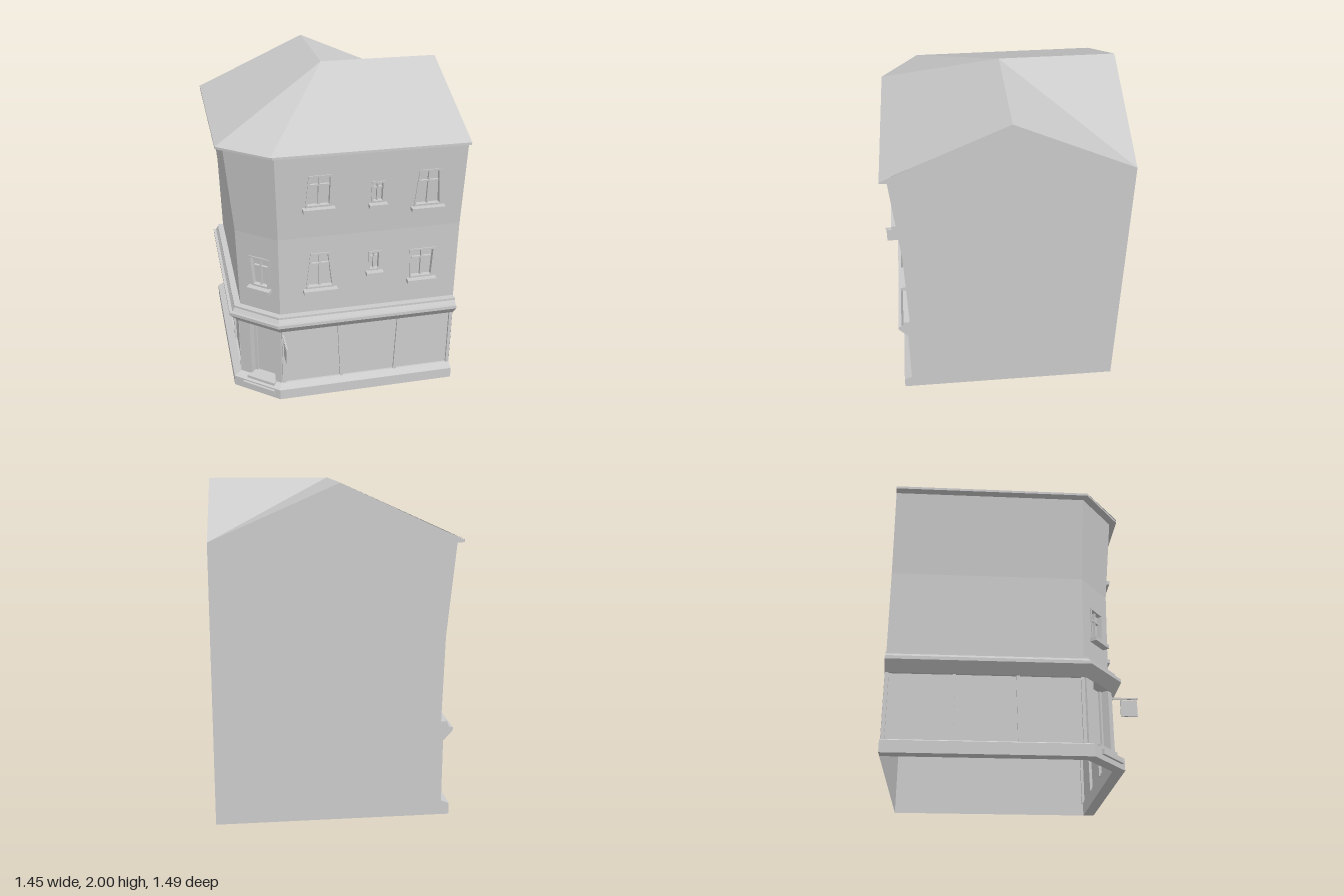
import * as THREE from 'three';

const material = new THREE.MeshStandardMaterial({ color: 0xcccccc, flatShading: true, side: THREE.DoubleSide });

// Street outline as [x, z]: left side, cut corner, front
const path = [[-0.64, -0.74], [-0.64, 0.4], [-0.405, 0.588], [0.72, 0.588]].map(p => new THREE.Vector2(...p));
const faces = [0, 1, 2].map(i => {
  const dir = path[i + 1].clone().sub(path[i]);
  const length = dir.length();
  dir.normalize();
  return { start: path[i], dir, length, n: new THREE.Vector2(-dir.y, dir.x) };
});
const miter = path.map((p, i) => {
  const a = faces[Math.max(i - 1, 0)].n, b = faces[Math.min(i, 2)].n;
  return a.clone().add(b).divideScalar(1 + a.dot(b));
});
const [LEFT, CORNER, FRONT] = [0, 1, 2];
const corner = (i, out, y) => [path[i].x + miter[i].x * out, y, path[i].y + miter[i].y * out];

// Outward lean of the street walls at height y
function lean(y) {
  if (y < 0.575) return 0;
  if (y <= 1.12) return -0.015 + 0.012 * (y - 0.58) / 0.54;
  return -0.003 + 0.048 * (y - 1.12) / 0.54;
}

function mesh(geometry, name) {
  const m = new THREE.Mesh(geometry, material);
  m.name = name;
  return m;
}

// Moves a geometry from (along, height, outward) of a face to model space
function onFace(f, geometry, name) {
  const { start, dir, n } = faces[f];
  const p = geometry.attributes.position;
  for (let i = 0; i < p.count; i++) {
    const u = p.getX(i), y = p.getY(i), w = p.getZ(i) + lean(y);
    p.setXYZ(i, start.x + dir.x * u + n.x * w, y, start.y + dir.y * u + n.y * w);
  }
  geometry.computeVertexNormals();
  return mesh(geometry, name);
}

const outline = pts => new THREE.Shape(pts.map(p => new THREE.Vector2(...p)));

function slab(shape, w0, w1) {
  return new THREE.ExtrudeGeometry(shape, { depth: w1 - w0, bevelEnabled: false }).translate(0, 0, w0);
}

function block(f, u0, u1, y0, y1, w0, w1, name) {
  const g = new THREE.BoxGeometry(u1 - u0, y1 - y0, w1 - w0);
  return onFace(f, g.translate((u0 + u1) / 2, (y0 + y1) / 2, (w0 + w1) / 2), name);
}

// Wall slab between two heights, mitred at the corners, with openings
function wall(f, y0, y1, thickness, holes, name) {
  const { dir, length } = faces[f];
  const a = y => miter[f].dot(dir) * lean(y), b = y => length + miter[f + 1].dot(dir) * lean(y);
  const s = outline([[a(y0), y0], [b(y0), y0], [b(y1), y1], [a(y1), y1]]);
  s.holes = holes.map(outline);
  return onFace(f, slab(s, -thickness, 0), name);
}

// Sweeps a closed [outward, y] profile along the street outline
function moulding(profile, name) {
  const pos = [], k = profile.length;
  const P = (j, i) => corner(j, ...profile[i % k]);
  for (let j = 0; j < 3; j++) for (let i = 0; i < k; i++) {
    const a = P(j, i), b = P(j, i + 1), c = P(j + 1, i + 1), d = P(j + 1, i);
    pos.push(...a, ...d, ...c, ...a, ...c, ...b);
  }
  for (let i = 1; i < k - 1; i++) {
    pos.push(...P(0, 0), ...P(0, i), ...P(0, i + 1), ...P(3, 0), ...P(3, i + 1), ...P(3, i));
  }
  return mesh(fromPoints(pos), name);
}

function fromPoints(pos) {
  const g = new THREE.BufferGeometry();
  g.setAttribute('position', new THREE.Float32BufferAttribute(pos, 3));
  g.computeVertexNormals();
  return g;
}

// Crooked window: [face, centre, bottom, top, bottom width, top width, lean to the side]
const fx = x => x - path[2].x;
const windows = [
  [FRONT, fx(-0.165), 1.325, 1.53, 0.155, 0.14, 0.01],
  [FRONT, fx(0.19), 1.32, 1.46, 0.08, 0.08, 0],
  [FRONT, fx(0.5), 1.27, 1.51, 0.17, 0.13, 0],
  [FRONT, fx(-0.15), 0.765, 1.01, 0.175, 0.12, 0],
  [FRONT, fx(0.187), 0.85, 0.985, 0.075, 0.08, 0],
  [FRONT, fx(0.492), 0.765, 0.97, 0.15, 0.165, 0],
  [CORNER, 0.165, 0.765, 0.97, 0.12, 0.145, 0]
];

function windowOutline([, u, y0, y1, wb, wt, skew], inset = 0) {
  return [[u - wb / 2 + inset, y0 + inset], [u + wb / 2 - inset, y0 + inset],
    [u + skew + wt / 2 - inset, y1 - inset], [u + skew - wt / 2 + inset, y1 - inset]];
}

function windowUnit(win) {
  const [f, u, y0, y1, wb, , skew] = win;
  const g = new THREE.Group();
  g.name = 'window';
  const frame = outline(windowOutline(win));
  frame.holes = [outline(windowOutline(win, 0.012))];
  g.add(onFace(f, slab(frame, -0.025, 0.006), 'windowFrame'));
  g.add(onFace(f, new THREE.ShapeGeometry(outline(windowOutline(win))).translate(0, 0, -0.024), 'windowPane'));
  const yb = y0 + (y1 - y0) * 0.65, mid = u + skew / 2, h = wb / 2 - 0.014;
  g.add(block(f, mid - 0.005, mid + 0.005, y0, y1 - 0.005, -0.024, -0.006, 'windowBar'));
  g.add(block(f, mid - h, mid + h, yb, yb + 0.01, -0.024, -0.008, 'windowBar'));
  const sill = wb * 0.5 + (wb > 0.1 ? 0.018 : 0.015);
  g.add(block(f, u - sill, u + sill, y0 - 0.024, y0, -0.01, 0.042, 'windowSill'));
  return g;
}

export function createModel() {
  const model = new THREE.Group();
  model.name = 'cornerShop';

  // Upper street walls in two leaning bands
  for (const f of [LEFT, CORNER, FRONT]) {
    for (const [y0, y1] of [[0.58, 1.12], [1.12, 1.66]]) {
      const holes = windows.filter(w => w[0] === f && w[2] > y0 && w[3] < y1).map(w => windowOutline(w));
      model.add(wall(f, y0, y1, 0.025, holes, 'upperWall'));
    }
  }
  windows.forEach(w => model.add(windowUnit(w)));

  // Shop fronts with slanted mullions
  const mullions = { [LEFT]: [[0.012, 0.012], [0.38, 0.39], [0.76, 0.75], [1.12, 1.12]],
    [FRONT]: [[0.02, 0.02], [fx(-0.01), fx(-0.03)], [fx(0.345), fx(0.36)], [1.113, 1.113]] };
  for (const f of [LEFT, FRONT]) {
    model.add(onFace(f, new THREE.PlaneGeometry(faces[f].length, 0.42)
      .translate(faces[f].length / 2, 0.28, -0.012), 'shopGlazing'));
    for (const [b, t] of mullions[f]) {
      const s = outline([[b - 0.01, 0.08], [b + 0.01, 0.08], [t + 0.01, 0.49], [t - 0.01, 0.49]]);
      model.add(onFace(f, slab(s, -0.03, 0.002), 'mullion'));
    }
  }

  // Corner entrance: recessed door and steps
  const [d0, d1] = [0.08, 0.255];
  model.add(wall(CORNER, 0.07, 0.5, 0.06, [[[d0, 0.09], [d1, 0.09], [d1, 0.48], [d0, 0.48]]], 'entranceWall'));
  model.add(block(CORNER, d0, d1, 0.08, 0.48, -0.07, -0.058, 'door'));
  for (const u of [d0, d1 - 0.018]) model.add(block(CORNER, u, u + 0.018, 0.09, 0.48, -0.06, -0.045, 'doorPost'));
  model.add(block(CORNER, 0.05, 0.28, 0.03, 0.06, -0.06, 0.065, 'lowerStep'));
  model.add(block(CORNER, 0.065, 0.265, 0.06, 0.095, -0.06, 0.035, 'upperStep'));

  // Plinth, cornice and eaves
  model.add(moulding([[-0.02, 0], [0.05, 0], [0.05, 0.07], [0, 0.09], [-0.02, 0.09]], 'plinth'));
  model.add(moulding([[-0.03, 0.48], [0.005, 0.48], [0.058, 0.54], [0.058, 0.56], [-0.03, 0.56]], 'cornice'));
  model.add(moulding([[-0.03, 0.56], [0.04, 0.56], [0.025, 0.585], [0.025, 0.598], [-0.03, 0.598]], 'corniceLedge'));
  model.add(moulding([[0.02, 1.66], [0.088, 1.665], [0.088, 1.68], [0.02, 1.68]], 'eaves'));

  // Plain gable walls at the back and the right-hand end
  const back = outline([[-0.64, 0], [0.72, 0], [0.72, 1.68], [-0.015, 2], [-0.72, 1.68], [-0.685, 1.66],
    [-0.637, 1.12], [-0.625, 0.58], [-0.64, 0.56]]);
  model.add(mesh(new THREE.ShapeGeometry(back).rotateY(Math.PI).scale(-1, 1, 1).translate(0, 0, -0.74), 'backWall'));
  const side = outline([[0.74, 0], [0.74, 1.68], [0.045, 2], [-0.67, 1.68], [-0.633, 1.66], [-0.585, 1.12],
    [-0.573, 0.58], [-0.588, 0.56], [-0.588, 0]]);
  model.add(mesh(new THREE.ShapeGeometry(side).rotateY(Math.PI / 2).translate(0.72, 0, 0), 'sideWall'));

  // Hipped roof with a valley running to the back corner
  const e = [0, 1, 2, 3].map(i => corner(i, 0.088, 1.68));
  e[2][0] -= 0.01;
  const top = [-0.015, 2, -0.045], ridgeBack = [-0.015, 2, -0.74], ridgeSide = [0.72, 2, -0.045], valley = [0.72, 1.68, -0.74];
  model.add(mesh(fromPoints([
    e[0], e[1], top, e[0], top, ridgeBack,
    e[1], e[2], top,
    e[2], e[3], ridgeSide, e[2], ridgeSide, top,
    ridgeBack, top, valley, top, ridgeSide, valley
  ].flat()), 'roof'));

  // Hanging sign by the entrance
  const sign = new THREE.Group();
  sign.name = 'hangingSign';
  const part = (h, d, y, z, name) => {
    const m = mesh(new THREE.BoxGeometry(0.01, h, d), name);
    m.position.set(-0.388, y, z);
    sign.add(m);
  };
  part(0.008, 0.165, 0.452, 0.665, 'signBracket');
  part(0.1, 0.1, 0.39, 0.69, 'signBoard');
  for (const z of [0.65, 0.73]) part(0.025, 0.006, 0.442, z, 'signHanger');
  model.add(sign);

  return model;
}
